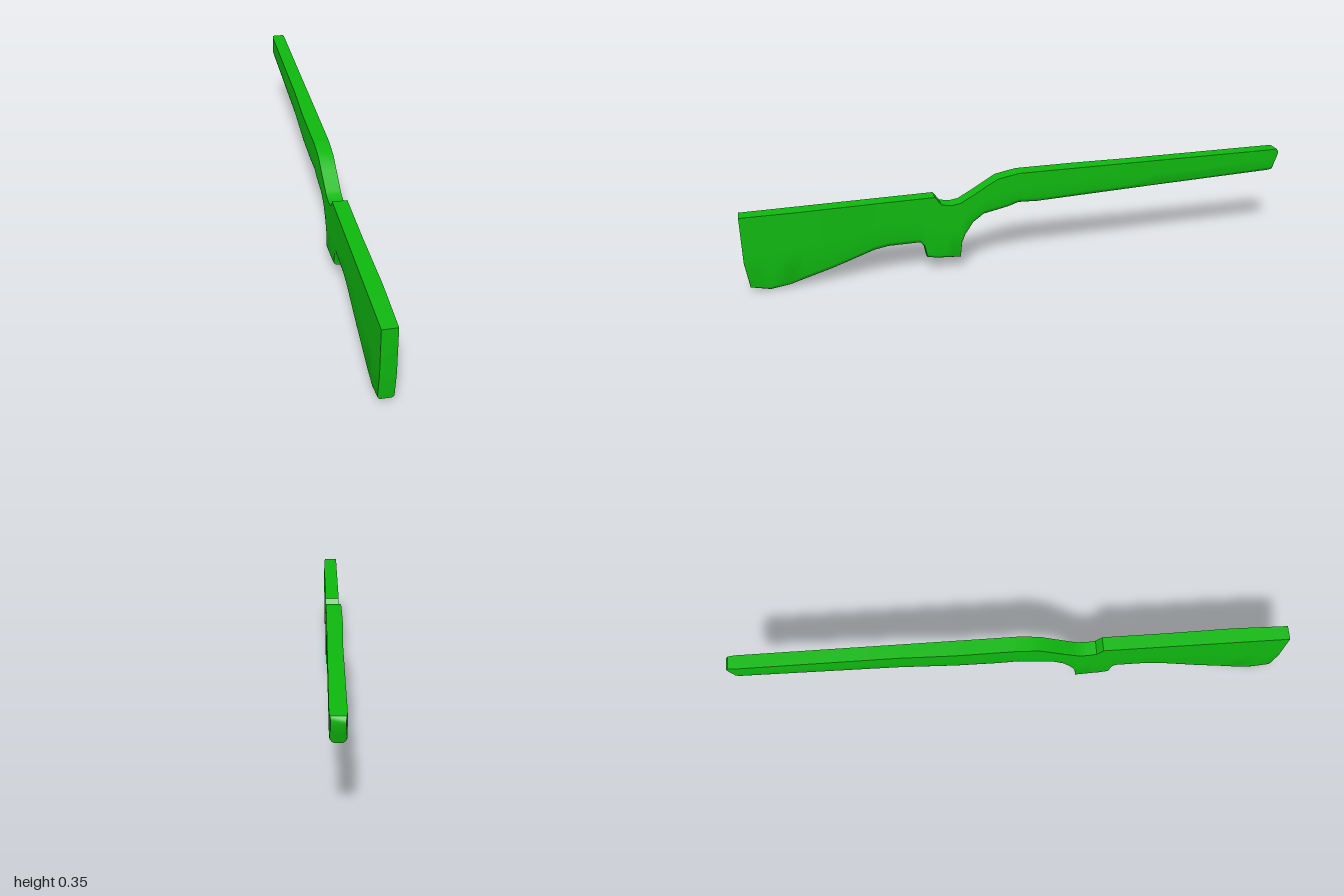
import * as THREE from 'three';
import { toCreasedNormals } from 'three/addons/utils/BufferGeometryUtils.js';

// Profiles run from butt (z = 1) to fore end (z = -1) as [z, value]
const TOP = [
  [1, 0.284], [0.327, 0.291], [0.305, 0.26], [0.27, 0.253], [0.237, 0.258],
  [0.19, 0.284], [0.1, 0.337], [0.06, 0.345], [0.02, 0.352], [-0.992, 0.352], [-1, 0.343],
];
const BOTTOM = [
  [1, 0.11], [0.987, 0.016], [0.92, 0], [0.85, 0.01], [0.7, 0.054], [0.55, 0.106],
  [0.5, 0.115], [0.385, 0.116], [0.372, 0.103], [0.363, 0.058], [0.327, 0.05], [0.24, 0.044],
  [0.234, 0.098], [0.22, 0.128], [0.19, 0.173], [0.15, 0.203], [0.06, 0.222], [0.02, 0.235],
  [-0.05, 0.232], [-0.5, 0.249], [-0.97, 0.265], [-0.982, 0.268], [-1, 0.323],
];
const LEFT = [[1, 0.026], [0.8, 0.03], [0.55, 0.027], [-0.97, 0.026], [-1, 0.022]];
const RIGHT = [[1, 0.025], [0.3, 0.025], [0, 0.029], [-0.2, 0.03], [-0.4, 0.025], [-0.97, 0.025], [-1, 0.021]];
const ROUNDING = [[1, 0.01], [0.8, 0.02], [0.385, 0.02], [0.363, 0.013], [0.24, 0.013], [0.22, 0.02], [-0.98, 0.018], [-1, 0.008]];

// Value of a profile at z, linear between its points
function at(profile, z) {
  const i = Math.max(1, profile.findIndex((p) => p[0] <= z));
  const [z0, v0] = profile[i - 1];
  const [z1, v1] = profile[i];
  return THREE.MathUtils.mapLinear(z, z0, z1, v0, v1);
}

// Flat top and sides, lower corners rounded; counter-clockwise seen from +z
function crossSection(z) {
  const [top, bottom, left, right, r] = [TOP, BOTTOM, LEFT, RIGHT, ROUNDING].map((p) => at(p, z));
  const middle = (top + bottom) / 2;
  const points = [[left, top, z], [-right, top, z], [-right, middle, z]];
  for (const side of [-1, 1]) {
    const half = side < 0 ? right : left;
    for (let k = 0; k <= 4; k++) {
      const a = (side < 0 ? k : 4 - k) * Math.PI / 8;
      points.push([side * (half - r + r * Math.cos(a)), bottom + r - r * Math.sin(a), z]);
    }
  }
  points.push([left, middle, z]);
  return points;
}

// Skin the sections and close both ends
function loft(sections) {
  const n = sections[0].length;
  const index = [];
  for (let i = 0; i < sections.length - 1; i++) {
    for (let j = 0; j < n; j++) {
      const a = i * n + j;
      const b = i * n + (j + 1) % n;
      index.push(a, a + n, b + n, a, b + n, b);
    }
  }
  const last = (sections.length - 1) * n;
  for (let j = 1; j < n - 1; j++) {
    index.push(0, j, j + 1);
    index.push(last, last + j + 1, last + j);
  }
  const geometry = new THREE.BufferGeometry();
  geometry.setAttribute('position', new THREE.Float32BufferAttribute(sections.flat(2), 3));
  geometry.setIndex(index);
  return toCreasedNormals(geometry, 0.75);
}

export function createModel() {
  const group = new THREE.Group();
  group.name = 'rifleStock';
  const green = new THREE.MeshStandardMaterial({ color: 0x0fb80f });
  green.name = 'green';

  // One continuous body: butt, grip and fore end, with a section at every profile point
  const stations = [...new Set([TOP, BOTTOM, LEFT, RIGHT].flat().map((p) => p[0]))].sort((a, b) => b - a);
  const stock = new THREE.Mesh(loft(stations.map(crossSection)), green);
  stock.name = 'stockBody';
  group.add(stock);
  return group;
}
